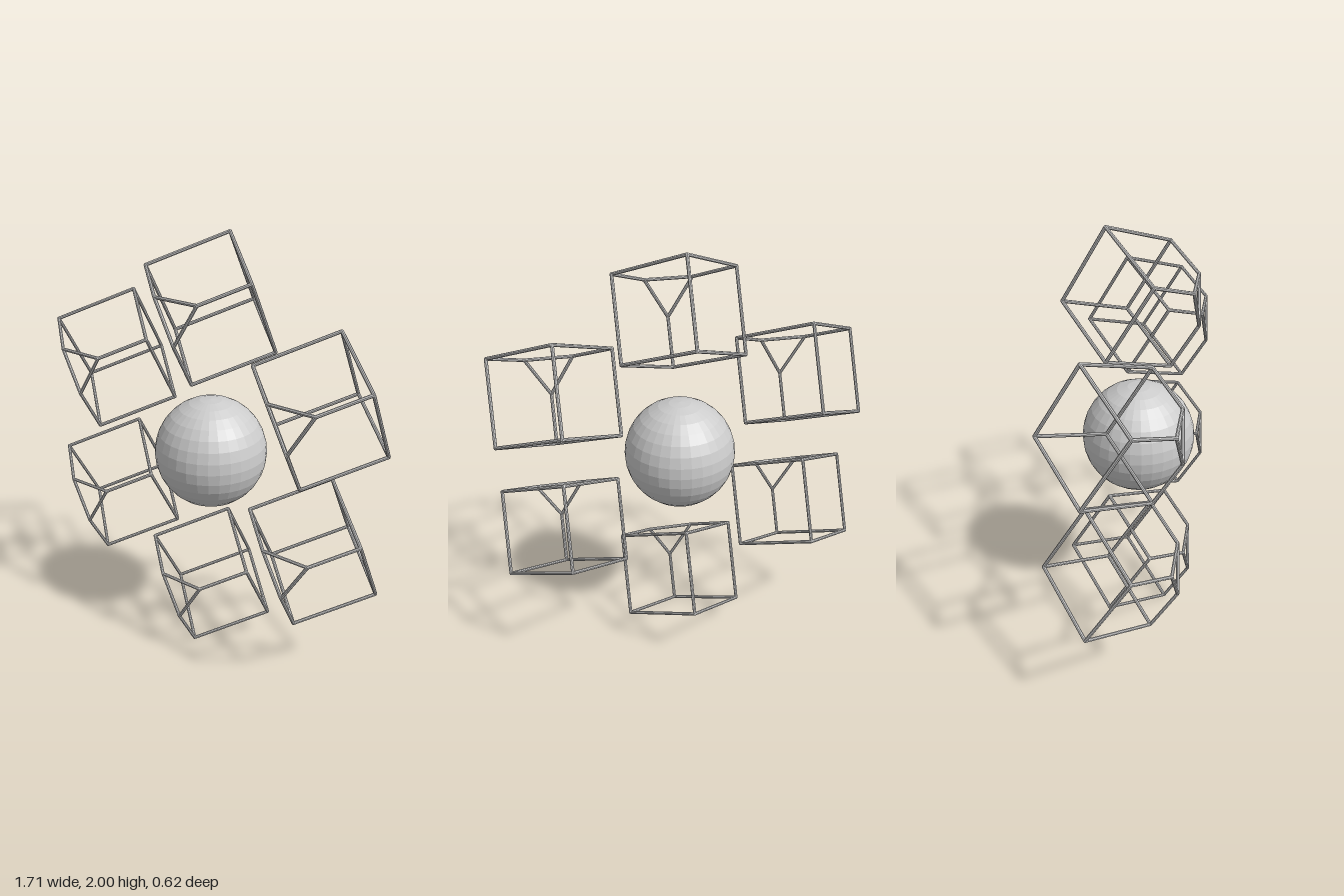
import * as THREE from 'three';

const EDGE = 0.393;                // cube edge length
const HALF = EDGE / Math.SQRT2;    // half the diagonal of a cube face
const CUT = 0.4;                   // share of each edge removed at the front corner
const BAR = 0.008;                 // bar radius
const MID_Z = 0.04;

const material = new THREE.MeshStandardMaterial({ color: 0xcccccc, flatShading: true });

// Straight round bar between two points
function bar(a, b, name) {
  const mesh = new THREE.Mesh(new THREE.CylinderGeometry(BAR, BAR, a.distanceTo(b), 8), material);
  mesh.position.copy(a).lerp(b, 0.5);
  mesh.quaternion.setFromUnitVectors(new THREE.Vector3(0, 1, 0), b.clone().sub(a).normalize());
  mesh.name = name;
  return mesh;
}

// Wire cube standing corner-forward, its upper front corner cut off
function wireCube() {
  const cube = new THREE.Group();
  const ring = (y) => [[0, HALF], [HALF, 0], [0, -HALF], [-HALF, 0]]
    .map(([x, z]) => new THREE.Vector3(x, y, z));
  const top = ring(EDGE / 2), bottom = ring(-EDGE / 2);
  const [front, left, , right] = top;
  const cuts = [left, right, bottom[0]].map((end) => front.clone().lerp(end, CUT));

  for (let i = 0; i < 4; i++) {
    const next = (i + 1) % 4;
    cube.add(bar(bottom[i], bottom[next], 'bottomBar'));
    if (i > 0) cube.add(bar(top[i], bottom[i], 'uprightBar'));
  }
  cube.add(bar(left, top[2], 'topBar'), bar(top[2], right, 'topBar'));

  // Shortened edges and the triangle that closes the cut corner
  [left, right, bottom[0]].forEach((end, i) => {
    cube.add(bar(cuts[i], end, 'shortenedBar'));
    cube.add(bar(cuts[i], cuts[(i + 1) % 3], 'cornerTriangleBar'));
  });

  // Small joints where the bars meet
  for (const p of [...top.slice(1), ...bottom, ...cuts]) {
    const joint = new THREE.Mesh(new THREE.SphereGeometry(BAR, 8, 6), material);
    joint.position.copy(p);
    joint.name = 'joint';
    cube.add(joint);
  }
  cube.rotation.x = Math.PI / 6;
  return cube;
}

export function createModel() {
  const model = new THREE.Group();
  model.name = 'cubeRing';

  // Central sphere
  const sphere = new THREE.Mesh(new THREE.SphereGeometry(0.262, 32, 16), material);
  sphere.position.set(0, 1.002, MID_Z);
  sphere.name = 'centreSphere';
  model.add(sphere);

  // Six cubes around the sphere
  const places = [[0, 1.685], [0, 0.317]];
  for (const x of [-0.567, 0.567]) places.push([x, 1.344], [x, 0.659]);
  for (const [x, y] of places) {
    const cube = wireCube();
    cube.position.set(x, y, MID_Z);
    cube.name = 'wireCube';
    model.add(cube);
  }
  return model;
}
